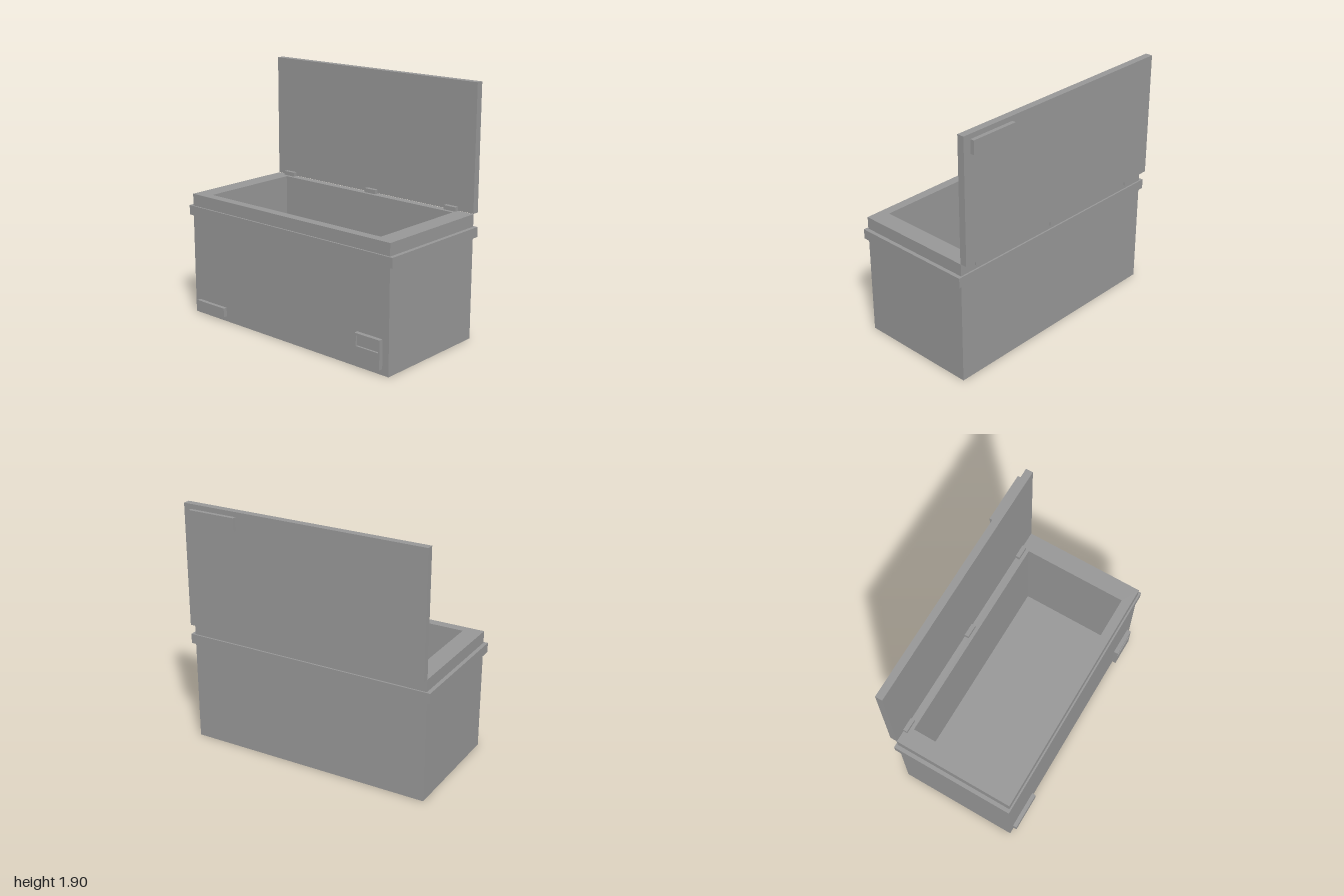
import * as THREE from 'three';

export function createModel() {
  const model = new THREE.Group();
  model.name = 'chestFreezer';
  const grey = new THREE.MeshStandardMaterial({ color: 0x969696 });
  grey.name = 'grey';

  const add = (name, geometry) => {
    const mesh = new THREE.Mesh(geometry, grey);
    mesh.name = name;
    model.add(mesh);
    return mesh;
  };

  // Box given by its limits on each axis
  const box = (name, x0, x1, y0, y1, z0, z1) =>
    add(name, new THREE.BoxGeometry(x1 - x0, y1 - y0, z1 - z0))
      .position.set((x0 + x1) / 2, (y0 + y1) / 2, (z0 + z1) / 2);

  const rect = (P, x0, x1, y0, y1) => {
    const p = new P();
    p.moveTo(x0, y0);
    p.lineTo(x1, y0);
    p.lineTo(x1, y1);
    p.lineTo(x0, y1);
    p.closePath();
    return p;
  };

  // Rectangular frame extruded along +z
  const frame = (outer, inner, depth) => {
    const shape = rect(THREE.Shape, ...outer);
    shape.holes.push(rect(THREE.Path, ...inner));
    return new THREE.ExtrudeGeometry(shape, { depth, bevelEnabled: false });
  };

  // Horizontal frame: limits in x and z, rising from y0 to y1
  const ring = (name, [x0, x1, z0, z1], [a0, a1, c0, c1], y0, y1) =>
    add(name, frame([x0, x1, -z1, -z0], [a0, a1, -c1, -c0], y1 - y0)
      .rotateX(-Math.PI / 2).translate(0, y0, 0));

  // Cabinet: floor slab, thick walls and a protruding band
  const outside = [-0.97, 0.97, -0.45, 0.5];
  const opening = [-0.83, 0.83, -0.388, 0.427];
  box('cabinetFloor', -0.97, 0.97, 0, 0.08, -0.45, 0.5);
  ring('cabinetWalls', outside, opening, 0.08, 0.953);
  ring('rimBand', [-1, 1, -0.463, 0.513], outside, 0.785, 0.86);

  // Open lid with a label plate on its outer face
  box('lid', -0.97, 0.97, 0.955, 1.905, -0.502, -0.447);
  box('lidPlate', 0.525, 0.91, 1.765, 1.868, -0.533, -0.502);

  // Hinges
  for (const x of [-0.827, 0.03, 0.783]) {
    box('hinge', x - 0.052, x + 0.052, 0.89, 0.985, -0.46, -0.415);
  }

  // Front plate and control panel with a recessed window
  box('frontPlate', -0.925, -0.625, 0.04, 0.11, 0.5, 0.531);
  box('controlPanelBack', 0.69, 0.915, 0.045, 0.262, 0.5, 0.518);
  add('controlPanelFrame',
    frame([0.69, 0.915, 0.045, 0.262], [0.705, 0.903, 0.167, 0.245], 0.015))
    .position.z = 0.518;

  return model;
}
